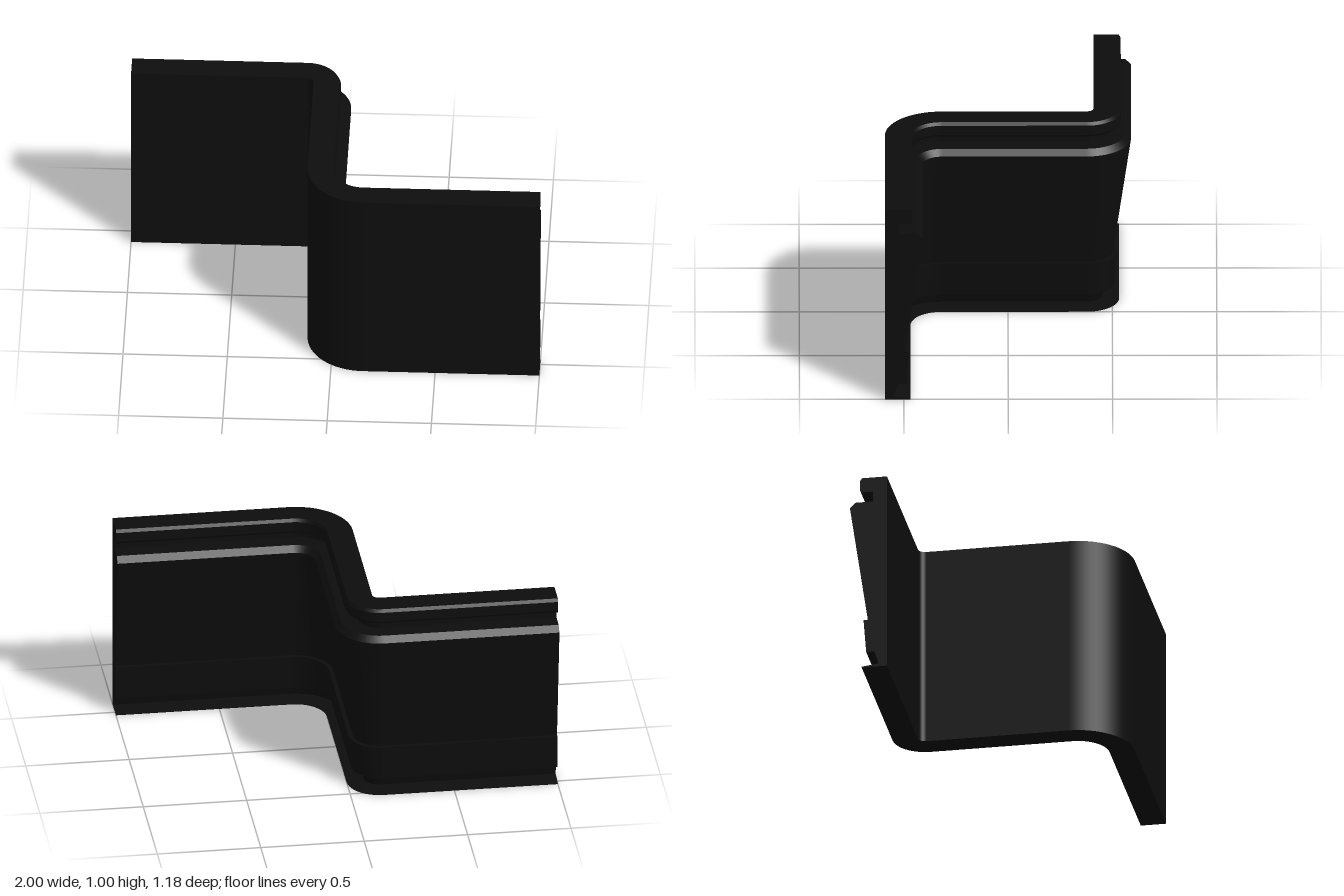
import * as THREE from 'three';
import { mergeGeometries } from 'three/addons/utils/BufferGeometryUtils.js';

// Closed cross-section: [depth behind the front face, height]
const PROFILE = [
  [0, 0], [0, 1],
  [0.122, 1], [0.131, 0.985], [0.131, 0.937], [0.122, 0.925],
  [0.069, 0.925], [0.069, 0.873],
  [0.152, 0.873], [0.18, 0.845], [0.093, 0.25],
  [0.114, 0.25], [0.101, 0.08],
  [0.061, 0.08], [0.04, 0.015],
  [0.123, 0.004], [0.123, 0],
];

// Named bands of the profile: [name, first point, last point]
const BANDS = [
  ['frontPanel', 0, 1],
  ['topRail', 1, 5],
  ['upperGroove', 5, 7],
  ['slopedBackPanel', 7, 10],
  ['lowerRail', 10, 12],
  ['lowerGroove', 12, 14],
  ['baseLip', 14, 17],
];

// S-shaped plan of the front face: position and heading at each station
function makePath() {
  const path = [];
  const add = (x, z, a) => path.push({ x, z, nx: -Math.sin(a), nz: Math.cos(a) });
  const arc = (cx, cz, r, from, to, steps) => {
    for (let i = 0; i <= steps; i++) {
      const a = from + ((to - from) * i) / steps;
      add(cx - Math.sin(a) * r, cz + Math.cos(a) * r, a);
    }
  };
  add(-1, -0.41, 0);
  arc(-0.158, -0.375, -0.035, 0, Math.PI / 2, 16);
  arc(0.152, 0.315, 0.275, Math.PI / 2, 0, 16);
  add(1, 0.59, 0);
  return path;
}

// One profile edge swept along the path: smooth along it, sharp at its edges
function sweepEdge(path, a, b) {
  const positions = [], normals = [], index = [];
  const dd = b[0] - a[0], dy = b[1] - a[1];
  const len = Math.hypot(dd, dy);
  path.forEach((p, i) => {
    for (const [d, y] of [a, b]) {
      positions.push(p.x - p.nx * d, y, p.z - p.nz * d);
      normals.push((p.nx * dy) / len, dd / len, (p.nz * dy) / len);
    }
    if (i < path.length - 1) {
      const k = i * 2;
      index.push(k, k + 2, k + 3, k, k + 3, k + 1);
    }
  });
  const g = new THREE.BufferGeometry();
  g.setAttribute('position', new THREE.Float32BufferAttribute(positions, 3));
  g.setAttribute('normal', new THREE.Float32BufferAttribute(normals, 3));
  g.setIndex(index);
  return g;
}

export function createModel() {
  const group = new THREE.Group();
  group.name = 'steppedWallPanel';
  const black = new THREE.MeshStandardMaterial({ color: 0x0d0d0d });
  black.name = 'black';

  const addMesh = (geometry, name) => {
    const mesh = new THREE.Mesh(geometry, black);
    mesh.name = name;
    group.add(mesh);
    return mesh;
  };

  // Swept bands
  const path = makePath();
  for (const [name, first, last] of BANDS) {
    const edges = [];
    for (let j = first; j < last; j++) {
      edges.push(sweepEdge(path, PROFILE[j], PROFILE[(j + 1) % PROFILE.length]));
    }
    addMesh(mergeGeometries(edges), name);
  }

  // Flat end caps
  for (const side of [1, -1]) {
    const shape = new THREE.Shape(PROFILE.map(([d, y]) => new THREE.Vector2(d * side, y)));
    const cap = addMesh(new THREE.ShapeGeometry(shape), side > 0 ? 'leftEndCap' : 'rightEndCap');
    cap.rotation.y = (side * Math.PI) / 2;
    cap.position.set(side, 0, side > 0 ? 0.59 : -0.41);
  }
  return group;
}
